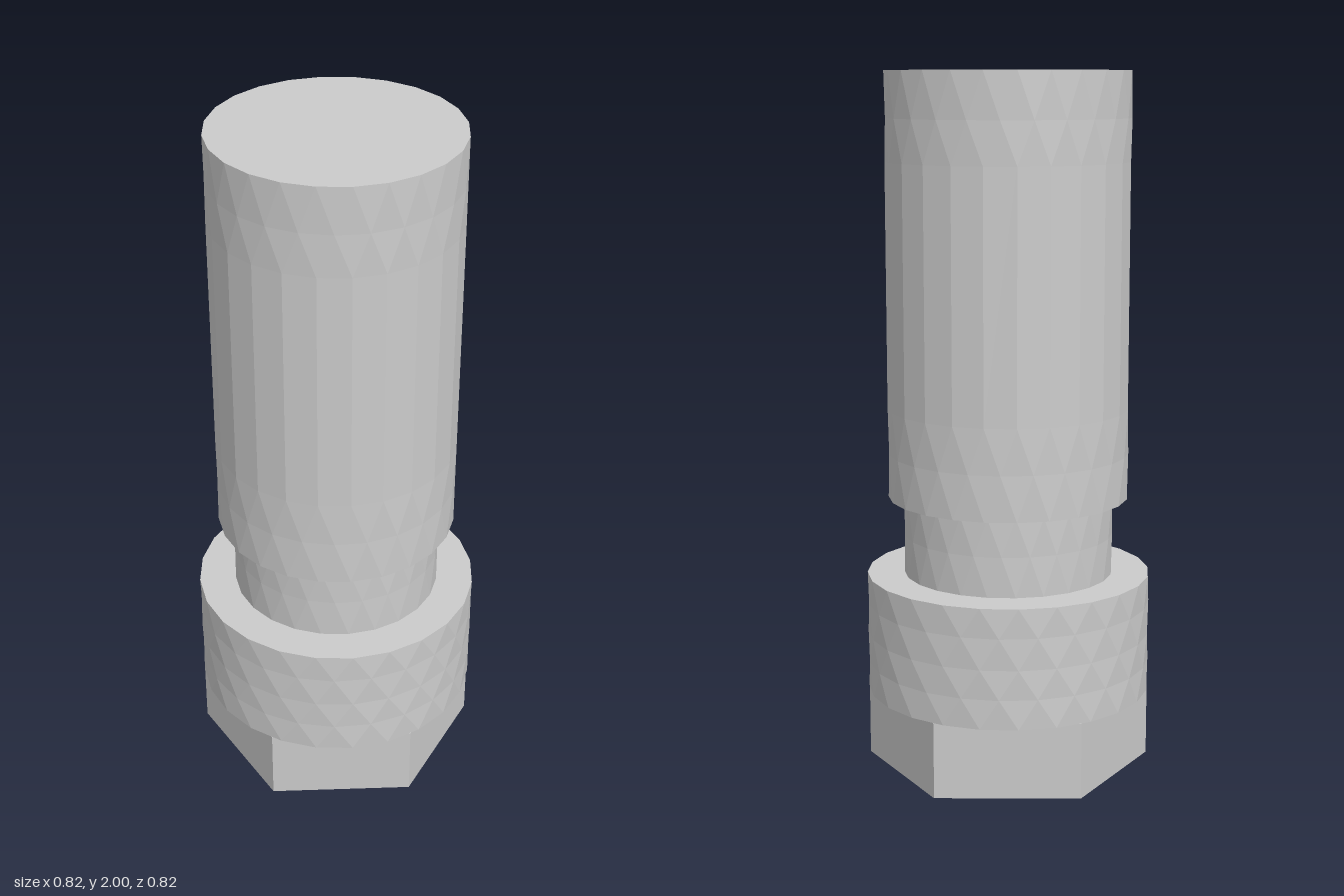
import * as THREE from 'three';

const SIDES = 24;
const material = new THREE.MeshStandardMaterial({ color: 0xcccccc, flatShading: true });

// Faceted round part from rings [radius, y, half-side turns], listed from top to bottom
function ringPart(name, rings) {
  const geometry = new THREE.CylinderGeometry(1, 1, 1, SIDES, rings.length - 1, true);
  const position = geometry.attributes.position;
  for (let i = 0; i < position.count; i++) {
    const [radius, y, turn] = rings[Math.floor(i / (SIDES + 1))];
    const angle = ((i % (SIDES + 1)) + turn / 2) * (2 * Math.PI / SIDES);
    position.setXYZ(i, radius * Math.sin(angle), y, radius * Math.cos(angle));
  }
  geometry.computeVertexNormals();
  const mesh = new THREE.Mesh(geometry, material);
  mesh.name = name;
  return mesh;
}

// Hexagonal foot with a round socket cut through it
function hexFoot(radius, holeRadius, height) {
  const corners = [];
  for (let i = 0; i < 6; i++) {
    const angle = -0.075 + i * Math.PI / 3;
    corners.push(new THREE.Vector2(radius * Math.sin(angle), -radius * Math.cos(angle)));
  }
  const shape = new THREE.Shape(corners);
  shape.holes.push(new THREE.Path().absarc(0, 0, holeRadius, 0, 2 * Math.PI, true));
  const geometry = new THREE.ExtrudeGeometry(shape, {
    depth: height, bevelEnabled: false, curveSegments: SIDES / 2
  });
  geometry.rotateX(-Math.PI / 2);
  const mesh = new THREE.Mesh(geometry, material);
  mesh.name = 'hexFoot';
  return mesh;
}

export function createModel() {
  const model = new THREE.Group();
  model.name = 'hexBaseShaft';

  // Long shaft: small facets near the ends, long ones in the middle
  const R = 0.347;
  model.add(ringPart('shaft', [
    [0, 2, 0], [R, 2, 0], [R, 1.87, 1], [R, 1.75, 2], [R, 1.05, 2],
    [R, 0.92, 3], [R, 0.79, 4], [0.303, 0.79, 4]
  ]));

  // Narrow neck
  model.add(ringPart('neck', [[0.303, 0.79, 4], [0.303, 0.68, 5], [0.303, 0.565, 6]]));

  // Wide collar, closed underneath to form the end of the socket
  const C = 0.411;
  model.add(ringPart('collar', [
    [0.303, 0.565, 6], [C, 0.565, 6], [C, 0.48, 7], [C, 0.39, 8],
    [C, 0.305, 9], [C, 0.22, 10], [0, 0.22, 10]
  ]));

  model.add(hexFoot(C, 0.303, 0.22));
  return model;
}
